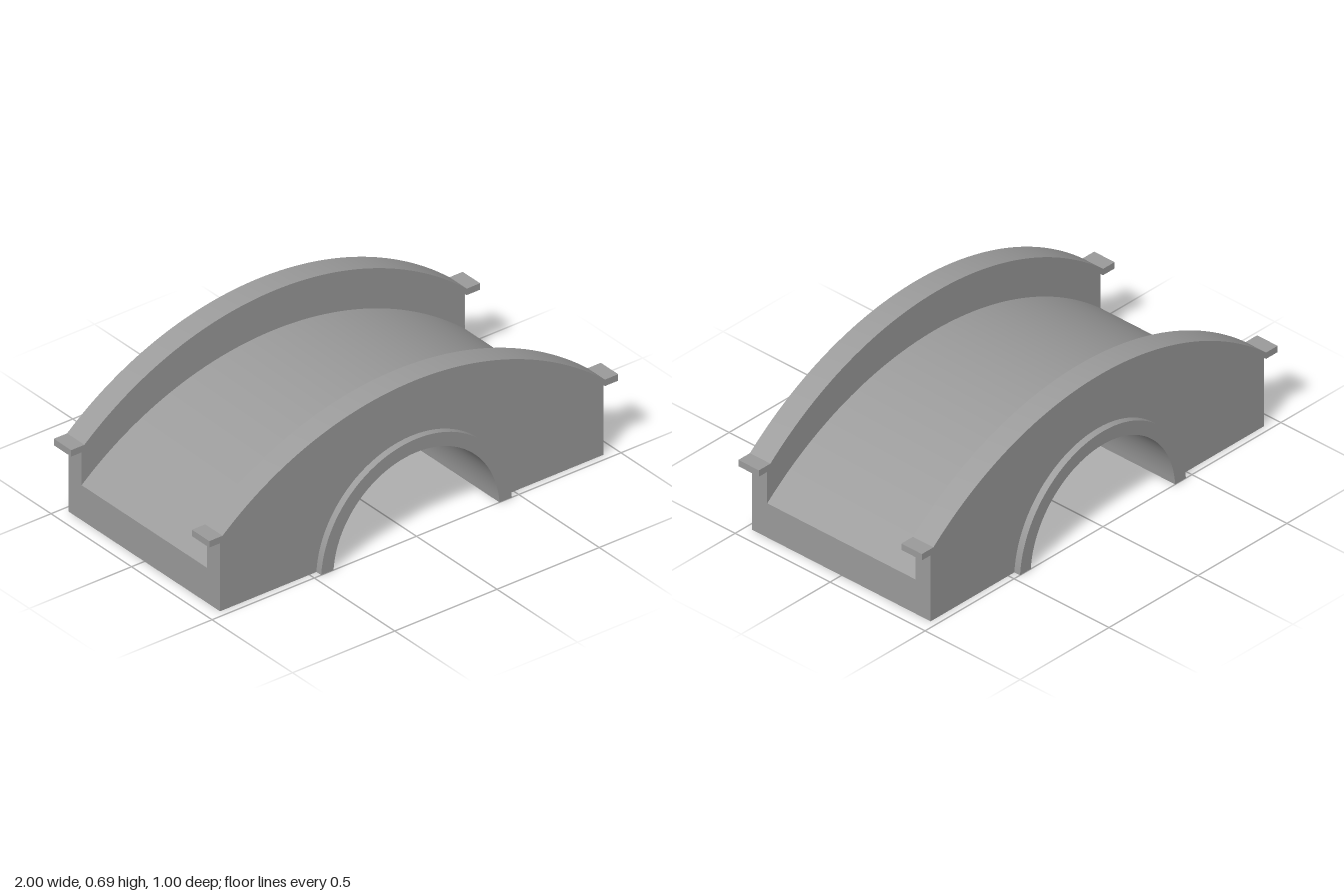
import * as THREE from 'three';
import { toCreasedNormals } from 'three/addons/utils/BufferGeometryUtils.js';

const stone = new THREE.MeshStandardMaterial({ color: 0x9b9b9b });
const shell = new THREE.MeshStandardMaterial({ color: 0x9b9b9b, side: THREE.DoubleSide });

const END = 0.937;      // half length of the body
const WALL = 0.47;      // z of the outer side walls
const CHEEK = 0.39;     // z of the inner parapet walls
const FACE = 0.5;       // z of the arch trim faces
const EAVE = 0.316;     // height of the wall tops at the ends
const ARCH_Y = -0.029;  // centre height of the tunnel circle
const R_IN = 0.407, R_OUT = 0.467;

// Points of a circular arc through (-w, low), (0, high), (w, low)
function bow(w, low, high, n = 56) {
  const h = high - low, r = (w * w + h * h) / (2 * h), a = Math.asin(w / r);
  return Array.from({ length: n + 1 }, (_, i) => {
    const t = -a + (2 * a * i) / n;
    return new THREE.Vector2(r * Math.sin(t), high - r + r * Math.cos(t));
  });
}

// Tunnel arc from -x to +x, cut off at the ground
function tunnelArc(r, n = 48) {
  const a = Math.asin(-ARCH_Y / r);
  return Array.from({ length: n + 1 }, (_, i) => {
    const t = Math.PI - a - ((Math.PI - 2 * a) * i) / n;
    return new THREE.Vector2(r * Math.cos(t), ARCH_Y + r * Math.sin(t));
  });
}

// Open sheet: a line of points swept along z
function sheet(points, halfDepth) {
  const g = new THREE.PlaneGeometry(1, 1, points.length - 1, 1);
  const p = g.attributes.position;
  for (let i = 0; i < p.count; i++) {
    const q = points[i % points.length];
    p.setXYZ(i, q.x, q.y, i < points.length ? -halfDepth : halfDepth);
  }
  g.computeVertexNormals();
  return g;
}

function extrude(points, depth) {
  const g = new THREE.ExtrudeGeometry(new THREE.Shape(points), { depth, bevelEnabled: false });
  return toCreasedNormals(g.translate(0, 0, -depth / 2), 0.4);
}

export function createModel() {
  const model = new THREE.Group();
  const add = (name, geometry, material, z = 0) => {
    const mesh = new THREE.Mesh(geometry, material);
    mesh.name = name;
    mesh.position.z = z;
    model.add(mesh);
    return mesh;
  };
  const v = (x, y) => new THREE.Vector2(x, y);

  const deck = bow(END, 0.157, 0.502);
  const railTop = bow(0.935, 0.345, 0.69);
  const railUnder = bow(0.935, EAVE, 0.663);

  // Hollow body: road surface and tunnel lining
  add('roadDeck', sheet(deck, CHEEK), shell);
  add('tunnelLining', sheet(tunnelArc(R_IN), FACE), shell);

  // Side walls with the arch cut out, parapet insides, handrails and open-backed arch trims
  const wallShape = new THREE.Shape([
    ...tunnelArc(R_OUT), v(END, 0), v(END, EAVE), ...railUnder.slice().reverse(), v(-END, EAVE), v(-END, 0),
  ]);
  const cheekShape = new THREE.Shape([...deck, ...railUnder.slice().reverse()]);
  const railPoints = [
    v(-1, EAVE), ...railUnder, v(1, EAVE), v(1, 0.345), ...railTop.slice().reverse(), v(-1, 0.345),
  ];
  const trimShape = new THREE.Shape([...tunnelArc(R_IN), ...tunnelArc(R_OUT).reverse()]);
  const trimDepth = FACE - WALL;
  for (const [side, s] of [['front', 1], ['back', -1]]) {
    add(side + 'Wall', new THREE.ShapeGeometry(wallShape), shell, s * WALL);
    add(side + 'ParapetInside', new THREE.ShapeGeometry(cheekShape), shell, s * CHEEK);
    add(side + 'Handrail', extrude(railPoints, 0.108), stone, s * 0.429);
    add(side + 'ArchTrimFace', new THREE.ShapeGeometry(trimShape), shell, s * FACE);
    add(side + 'ArchTrimEdge', sheet(tunnelArc(R_OUT), trimDepth / 2), shell, s * (WALL + trimDepth / 2));
  }

  // U-shaped end walls
  const endShape = new THREE.Shape([
    v(-WALL, 0), v(WALL, 0), v(WALL, EAVE), v(CHEEK, EAVE),
    v(CHEEK, 0.157), v(-CHEEK, 0.157), v(-CHEEK, EAVE), v(-WALL, EAVE),
  ]);
  for (const [side, s] of [['left', 1], ['right', -1]]) {
    const wall = add(side + 'EndWall', new THREE.ShapeGeometry(endShape), shell);
    wall.rotation.y = (s * Math.PI) / 2;
    wall.position.x = s * END;
  }
  return model;
}
